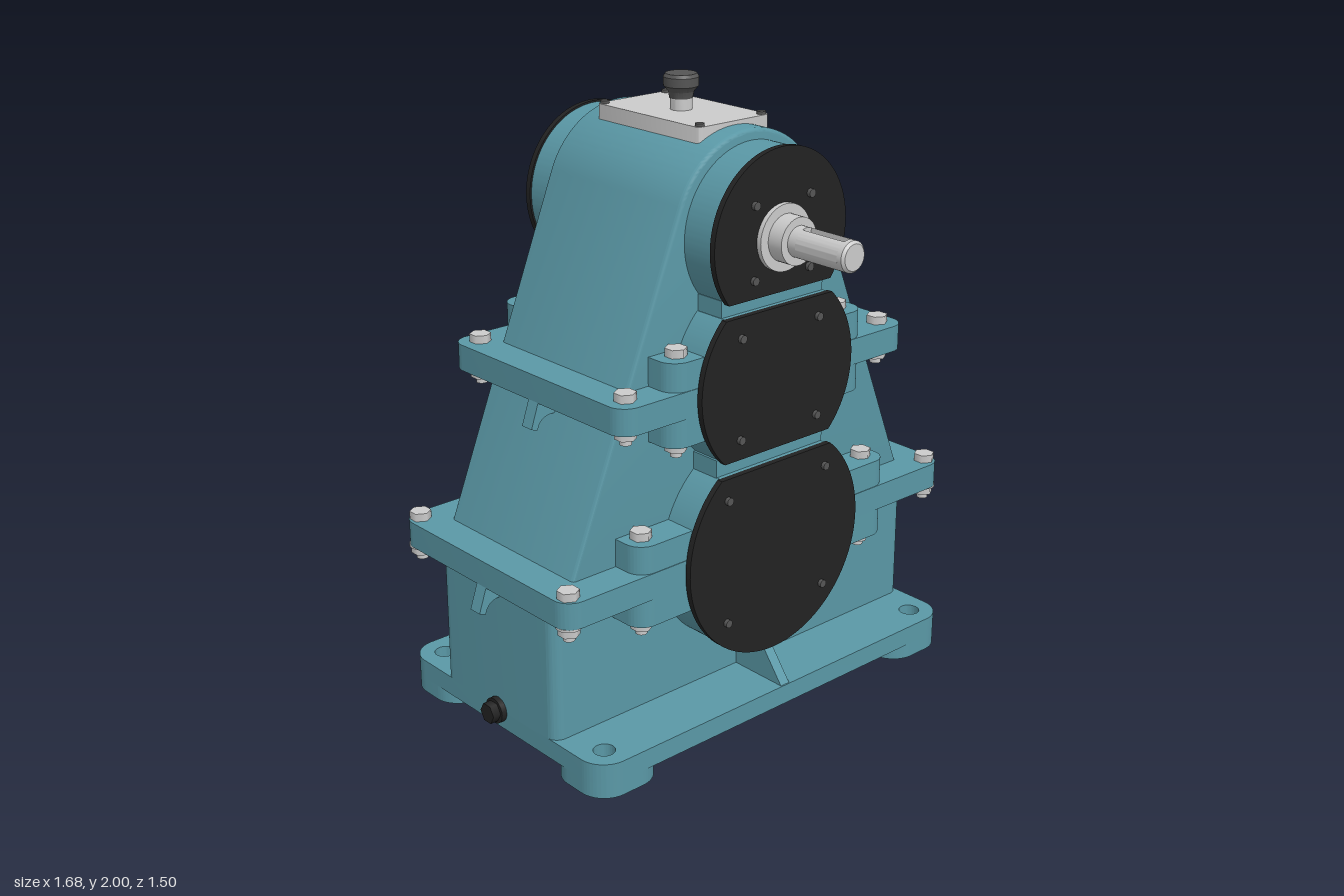
import * as THREE from 'three';
import { toCreasedNormals } from 'three/addons/utils/BufferGeometryUtils.js';

const mat = (color) => new THREE.MeshStandardMaterial({ color });
const teal = mat(0x5a98a6), black = mat(0x222222), steel = mat(0xcccccc), dark = mat(0x555555);
const ZC = 0.022; // middle of the casing in z

export function createModel() {
  const root = new THREE.Group();

  function add(name, geometry, material, x = 0, y = 0, z = 0, parent = root) {
    const mesh = new THREE.Mesh(geometry, material);
    mesh.name = name;
    mesh.position.set(x, y, z);
    parent.add(mesh);
    return mesh;
  }

  // Front-facing outline pushed from z0 to z1
  function extrude(shape, z0, z1, bevel = 0) {
    const g = new THREE.ExtrudeGeometry(shape, {
      depth: z1 - z0 - 2 * bevel, curveSegments: 40, bevelEnabled: bevel > 0,
      bevelSize: bevel, bevelThickness: bevel, bevelOffset: -bevel, bevelSegments: 3,
    });
    g.translate(0, 0, z0 + bevel);
    return toCreasedNormals(g, 0.6);
  }

  // Horizontal slab with rounded corners and optional round holes [x, z, r]
  function slab(x0, x1, z0, z1, y0, y1, r, holes = []) {
    const s = new THREE.Shape(), a = -z1, b = -z0;
    s.absarc(x1 - r, a + r, r, -Math.PI / 2, 0);
    s.absarc(x1 - r, b - r, r, 0, Math.PI / 2);
    s.absarc(x0 + r, b - r, r, Math.PI / 2, Math.PI);
    s.absarc(x0 + r, a + r, r, Math.PI, Math.PI * 1.5);
    for (const [x, z, hr] of holes) s.holes.push(new THREE.Path().absarc(x, -z, hr, 0, Math.PI * 2, true));
    return extrude(s, y0, y1).rotateX(-Math.PI / 2);
  }

  // Disc with flat cuts at heights top and bottom
  function cutDisc(r, y, bottom, top) {
    const b = Math.asin(Math.max(-1, (bottom - y) / r)), t = Math.asin(Math.min(1, (top - y) / r));
    const s = new THREE.Shape();
    s.absarc(0, y, r, b, t);
    s.absarc(0, y, r, Math.PI - t, Math.PI - b);
    return s;
  }

  const rodZ = (r, length, sides = 40) => new THREE.CylinderGeometry(r, r, length, sides).rotateX(Math.PI / 2);

  // Base plate on four corner feet
  const bx = 0.765, bz0 = -0.47, bz1 = 0.518;
  const footHoles = [];
  for (const x of [-0.68, 0.68]) for (const z of [-0.385, 0.433]) footHoles.push([x, z, 0.034]);
  add('basePlate', slab(-bx, bx, bz0, bz1, 0.05, 0.115, 0.09, footHoles), teal);
  for (const h of footHoles) {
    const [x0, x1] = h[0] > 0 ? [0.51, bx] : [-bx, -0.51];
    const [z0, z1] = h[1] > 0 ? [0.27, bz1] : [bz0, -0.225];
    add('foot', slab(x0, x1, z0, z1, 0, 0.05, 0.09, [h]), teal);
  }

  // Lower housing and tapered upper housing with a round crown
  add('lowerHousing', slab(-bx, bx, -0.26, 0.306, 0.11, 0.58, 0.04), teal);
  const tangent = 0.38, taper = new THREE.Shape();
  taper.moveTo(-0.734, 0.55);
  taper.lineTo(0.734, 0.55);
  taper.absarc(0, 1.578, 0.3, tangent, Math.PI - tangent);
  taper.closePath();
  add('upperHousing', extrude(taper, -0.28, 0.325, 0.012), teal);

  // Hex bolt with washer, nut and stud end through a flange
  function bolt(x, z, y0, y1) {
    const g = new THREE.Group();
    g.name = 'flangeBolt';
    g.position.set(x, 0, z);
    root.add(g);
    const hex = (h) => new THREE.CylinderGeometry(0.034, 0.034, h, 6).toNonIndexed();
    add('boltHead', hex(0.026), steel, 0, y1 + 0.013, 0, g);
    add('washer', new THREE.CylinderGeometry(0.04, 0.04, 0.008, 20), steel, 0, y0 - 0.004, 0, g);
    add('nut', hex(0.024), steel, 0, y0 - 0.02, 0, g);
    add('studEnd', new THREE.CylinderGeometry(0.018, 0.018, 0.02, 16), steel, 0, y0 - 0.04, 0, g);
  }

  // Two split flanges, each with a thicker bolting block and a lifting hook per side
  const flanges = [
    { x: 0.812, y0: 0.55, y1: 0.635, boltX: 0.77, bossX: 0.537, b0: 0.46, b1: 0.725, bossBolt: 0.475, z0: -0.352, z1: 0.39 },
    { x: 0.597, y0: 1.09, y1: 1.175, boltX: 0.53, bossX: 0.405, b0: 1.0, b1: 1.265, bossBolt: 0.335, z0: -0.33, z1: 0.368 },
  ];
  for (const f of flanges) {
    add('splitFlange', slab(-f.x, f.x, -0.396, 0.436, f.y0, f.y1, 0.06), teal);
    add('boltingBlock', slab(-f.bossX, f.bossX, -0.394, 0.434, f.b0, f.b1, 0.06), teal);
    for (const side of [-1, 1]) {
      for (const z of [f.z0, f.z1]) bolt(side * f.boltX, z, f.y0, f.y1);
      for (const z of [-0.33, 0.368]) bolt(side * f.bossBolt, z, f.b0, f.b1);
      const hook = new THREE.Shape();
      hook.moveTo(f.x - 0.12, f.y0 + 0.01);
      hook.lineTo(f.x - 0.12, f.y0 - 0.045);
      hook.lineTo(f.x - 0.05, f.y0 - 0.045);
      hook.quadraticCurveTo(f.x - 0.005, f.y0 - 0.045, f.x + 0.004, f.y0 - 0.086);
      hook.lineTo(f.x + 0.027, f.y0 - 0.078);
      hook.lineTo(f.x - 0.003, f.y0 + 0.01);
      const m = add('liftingHook', extrude(hook, -0.023, 0.023), teal, 0, 0, ZC);
      if (side < 0) m.rotation.y = Math.PI;
    }
  }

  // Bearing housings through the casing, closed by screwed covers front and back
  const bearings = [
    { r: 0.36, y: 0.59, bottom: 0, top: 0.865, sx: 0.207, sy: 0.205 },
    { r: 0.315, y: 1.14, bottom: 0.915, top: 1.365, sx: 0.16, sy: 0.16 },
    { r: 0.27, y: 1.58, bottom: 1.41, top: 2, sx: 0.113, sy: 0.113 },
  ];
  for (const b of bearings) {
    add('bearingHousing', extrude(cutDisc(b.r - 0.006, b.y, b.bottom, b.top), -0.396, 0.44), teal);
    add('frontCover', extrude(cutDisc(b.r, b.y, b.bottom, b.top), 0.44, 0.46), black);
    add('backCover', extrude(cutDisc(b.r, b.y, b.bottom, b.top), -0.416, -0.396), black);
    for (const x of [-b.sx, b.sx]) for (const y of [b.y - b.sy, b.y + b.sy]) {
      add('coverScrew', rodZ(0.013, 0.012, 16), dark, x, y, 0.466);
      add('coverScrew', rodZ(0.013, 0.012, 16), dark, x, y, -0.422);
    }
  }
  for (const [y, w] of [[0.89, 0.45], [1.3875, 0.42]])
    add('housingNeck', new THREE.BoxGeometry(w, 0.06, 0.81), teal, 0, y, ZC);

  // Centre ribs under the lowest bearing
  const rib = new THREE.Shape([[0.2, 0.11], [0.495, 0.11], [0.41, 0.22], [0.41, 0.3], [0.2, 0.3]]
    .map(([x, y]) => new THREE.Vector2(x, y)));
  for (const side of [-1, 1])
    add('centreRib', extrude(rib, -0.018, 0.018), teal, 0, 0, ZC).rotation.y = -side * Math.PI / 2;

  // Input shaft with a keyway
  const inY = 1.58;
  add('inputSeal', rodZ(0.103, 0.018), steel, 0, inY, 0.467);
  add('inputCollar', rodZ(0.073, 0.07), steel, 0, inY, 0.495);
  add('inputShaft', rodZ(0.048, 0.06), steel, 0, inY, 0.53);
  const keyed = new THREE.Shape(), k = Math.acos(0.018 / 0.048);
  keyed.absarc(0, 0, 0.048, Math.PI - k, Math.PI * 2 + k);
  keyed.lineTo(0.018, 0.024);
  keyed.lineTo(-0.018, 0.024);
  add('inputShaftKeyway', extrude(keyed, 0.56, 0.725), steel, 0, inY, 0);
  add('inputShaftEnd', rodZ(0.048, 0.017), steel, 0, inY, 0.7335);
  add('inputShaftTip', new THREE.CylinderGeometry(0.04, 0.048, 0.008, 40).rotateX(Math.PI / 2), steel, 0, inY, 0.746);

  // Output shaft at the back
  const outY = 0.59;
  add('outputSeal', rodZ(0.105, 0.02), steel, 0, outY, -0.424);
  add('outputCollar', rodZ(0.09, 0.07), steel, 0, outY, -0.45);
  add('outputShaft', rodZ(0.066, 0.265), steel, 0, outY, -0.6125);
  add('outputShaftTip', new THREE.CylinderGeometry(0.066, 0.056, 0.01, 40).rotateX(Math.PI / 2), steel, 0, outY, -0.75);

  // Inspection plate with screws and breather
  add('inspectionPlate', slab(-0.143, 0.143, -0.21, 0.253, 1.84, 1.89, 0.012), steel);
  for (const x of [-0.125, 0.125]) for (const z of [-0.195, 0.237])
    add('plateScrew', new THREE.CylinderGeometry(0.014, 0.014, 0.01, 16), dark, x, 1.894, z);
  const stem = [[0, 1.88], [0.034, 1.88], [0.034, 1.925], [0.028, 1.93], [0.028, 1.94]];
  const cap = [[0, 1.925], [0.036, 1.925], [0.04, 1.945], [0.054, 1.962], [0.055, 1.99], [0.048, 2], [0, 2]];
  const lathe = (pts) => toCreasedNormals(new THREE.LatheGeometry(pts.map(([x, y]) => new THREE.Vector2(x, y)), 32), 0.5);
  add('breatherStem', lathe(stem), steel, -0.005, 0, ZC);
  add('breatherCap', lathe(cap), dark, -0.005, 0, ZC);

  // Drain plug on one side
  const plug = (r, h, n) => new THREE.CylinderGeometry(r, r, h, n).rotateZ(Math.PI / 2);
  add('drainPlugCollar', plug(0.042, 0.02, 24), black, -0.773, 0.11, ZC);
  add('drainPlugHead', plug(0.034, 0.03, 6).toNonIndexed(), black, -0.795, 0.11, ZC);

  return root;
}
